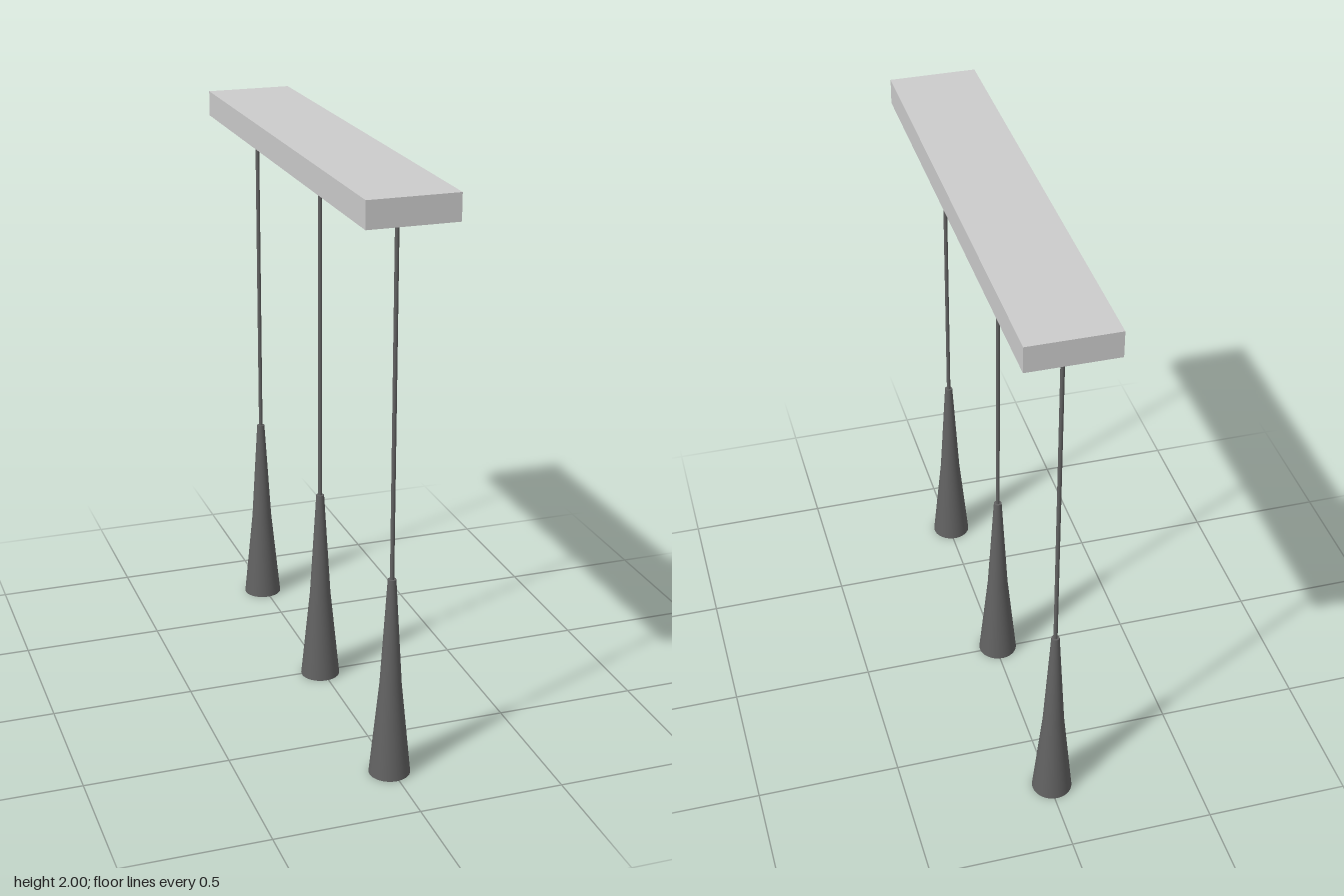
import * as THREE from 'three';

const plateMaterial = new THREE.MeshStandardMaterial({ color: 0xcccccc });
const darkMaterial = new THREE.MeshStandardMaterial({ color: 0x626262 });

const PLATE_BOTTOM = 1.91;
const SHADE_TOP = 0.71;

function addMesh(parent, name, geometry, material, y) {
  const mesh = new THREE.Mesh(geometry, material);
  mesh.name = name;
  mesh.position.y = y;
  parent.add(mesh);
  return mesh;
}

// One hanging lamp: a thin cord and a slim flared shade with a recessed base
function createPendant() {
  const pendant = new THREE.Group();
  pendant.name = 'pendant';

  const cordLength = PLATE_BOTTOM - SHADE_TOP;
  addMesh(pendant, 'cord', new THREE.CylinderGeometry(0.007, 0.007, cordLength, 16),
    darkMaterial, SHADE_TOP + cordLength / 2);

  // Flared outer wall, with a gentle bend near the middle
  const wall = [[0.07, 0], [0.037, 0.33], [0.014, SHADE_TOP]];
  const points = wall.map(([r, y]) => new THREE.Vector2(r, y));
  addMesh(pendant, 'shade', new THREE.LatheGeometry(points, 40), darkMaterial, 0);

  const cap = addMesh(pendant, 'shadeCap', new THREE.CircleGeometry(0.014, 40), darkMaterial, SHADE_TOP);
  cap.rotation.x = -Math.PI / 2;

  // Shallow recess in the open end
  const recess = [[0, 0.02], [0.064, 0.02], [0.066, 0], [0.07, 0]];
  const recessGeometry = new THREE.LatheGeometry(recess.map(([r, y]) => new THREE.Vector2(r, y)), 40);
  const recessMaterial = darkMaterial.clone();
  recessMaterial.side = THREE.DoubleSide;
  recessMaterial.flatShading = true;
  addMesh(pendant, 'lampRecess', recessGeometry, recessMaterial, 0);

  return pendant;
}

export function createModel() {
  const model = new THREE.Group();
  model.name = 'pendantLight';

  // Long ceiling plate
  addMesh(model, 'ceilingPlate', new THREE.BoxGeometry(0.304, 2 - PLATE_BOTTOM, 1.7),
    plateMaterial, (2 + PLATE_BOTTOM) / 2);

  // Three equal lamps in a row along z
  for (const i of [-1, 0, 1]) {
    const pendant = createPendant();
    pendant.position.set(-0.009, 0, 0.009 + i * 0.726);
    model.add(pendant);
  }
  return model;
}
